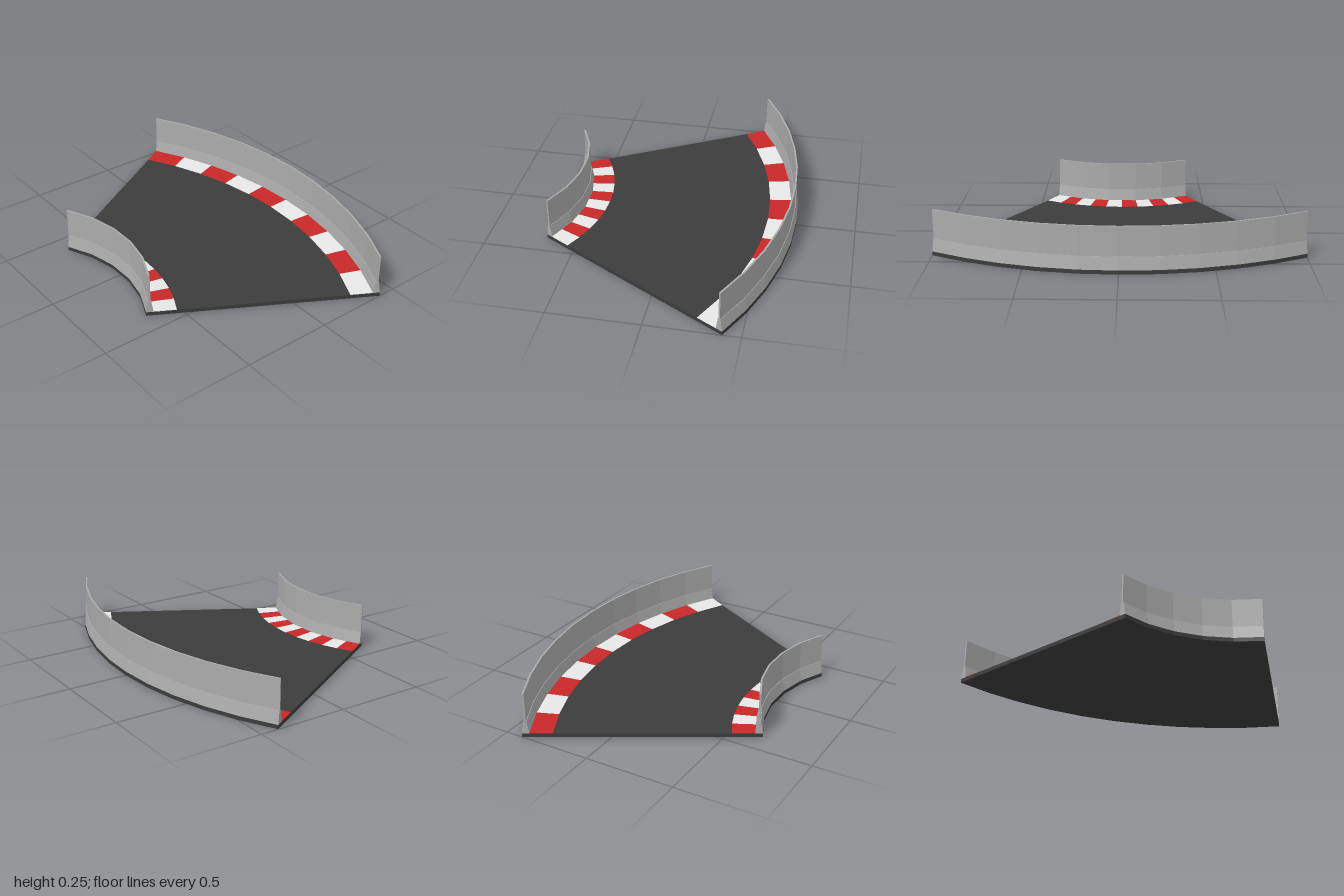
import * as THREE from 'three';

const CENTRE_Z = 1.33;          // centre of the bend
const HALF = Math.PI / 6;       // the bend spans 60 degrees
const ROAD_TOP = 0.022;

const road = new THREE.MeshStandardMaterial({ color: 0x3c3c3c });
road.name = 'asphalt';
const concrete = new THREE.MeshStandardMaterial({ color: 0xababab });
concrete.name = 'barrierGrey';
const red = new THREE.MeshStandardMaterial({ color: 0xc82828 });
red.name = 'kerbRed';
const white = new THREE.MeshStandardMaterial({ color: 0xf0f0f0 });
white.name = 'kerbWhite';

// Sweeps a convex counter-clockwise (radius, height) profile around the bend
function sweep(profile, from, to, segments) {
  const pos = [];
  const at = ([r, y], a) => [r * Math.sin(a), y, CENTRE_Z - r * Math.cos(a)];
  const tri = (a, b, c) => pos.push(...a, ...b, ...c);
  for (let s = 0; s < segments; s++) {
    const a0 = from + ((to - from) * s) / segments;
    const a1 = from + ((to - from) * (s + 1)) / segments;
    profile.forEach((p, i) => {
      const q = profile[(i + 1) % profile.length];
      tri(at(p, a0), at(q, a0), at(q, a1));
      tri(at(p, a0), at(q, a1), at(p, a1));
    });
  }
  // End caps
  for (let i = 1; i < profile.length - 1; i++) {
    const [p, q, r] = [profile[0], profile[i], profile[i + 1]];
    tri(at(p, to), at(q, to), at(r, to));
    tri(at(p, from), at(r, from), at(q, from));
  }
  const g = new THREE.BufferGeometry();
  g.setAttribute('position', new THREE.Float32BufferAttribute(pos, 3));
  g.computeVertexNormals();
  return g;
}

function addMesh(parent, name, geometry, material) {
  const m = new THREE.Mesh(geometry, material);
  m.name = name;
  parent.add(m);
}

// Road slab: ten facets on the outside of the bend, five on the inside
function roadGeometry() {
  const arc = (r, n) => Array.from({ length: n + 1 }, (_, i) => {
    const a = -HALF + (2 * HALF * i) / n;
    return new THREE.Vector2(r * Math.sin(a), r * Math.cos(a) - CENTRE_Z);
  });
  const shape = new THREE.Shape([...arc(0.76, 5), ...arc(2, 10).reverse()]);
  const g = new THREE.ExtrudeGeometry(shape, { depth: ROAD_TOP, bevelEnabled: false });
  return g.rotateX(-Math.PI / 2);
}

// Barrier: tapered footing with a thin upright wall on it
function addBarrier(parent, name, radius, segments) {
  const group = new THREE.Group();
  group.name = name;
  const section = (low, high, y0, y1) => [
    [radius - low, y0], [radius + low, y0], [radius + high, y1], [radius - high, y1],
  ];
  addMesh(group, 'barrierFooting',
    sweep(section(0.02, 0.008, ROAD_TOP, 0.092), -HALF, HALF, segments), concrete);
  addMesh(group, 'barrierWall',
    sweep(section(0.005, 0.005, 0.092, 0.254), -HALF, HALF, segments), concrete);
  parent.add(group);
}

// Kerb: ten blocks in alternating colours, rising slightly to the barrier
function addKerb(parent, name, r0, r1, y0, y1) {
  const group = new THREE.Group();
  group.name = name;
  const step = (2 * HALF) / 10;
  for (let i = 0; i < 10; i++) {
    const a = -HALF + i * step;
    const profile = [[r0, ROAD_TOP], [r1, ROAD_TOP], [r1, y1], [r0, y0]];
    addMesh(group, 'kerbBlock', sweep(profile, a, a + step, 1), i % 2 ? white : red);
  }
  parent.add(group);
}

export function createModel() {
  const model = new THREE.Group();
  model.name = 'curvedTrackSection';
  addMesh(model, 'roadSlab', roadGeometry(), road);
  addBarrier(model, 'outerBarrier', 1.98, 10);
  addBarrier(model, 'innerBarrier', 0.78, 5);
  addKerb(model, 'outerKerb', 1.84, 1.962, 0.023, 0.026);
  addKerb(model, 'innerKerb', 0.795, 0.92, 0.026, 0.023);
  return model;
}
